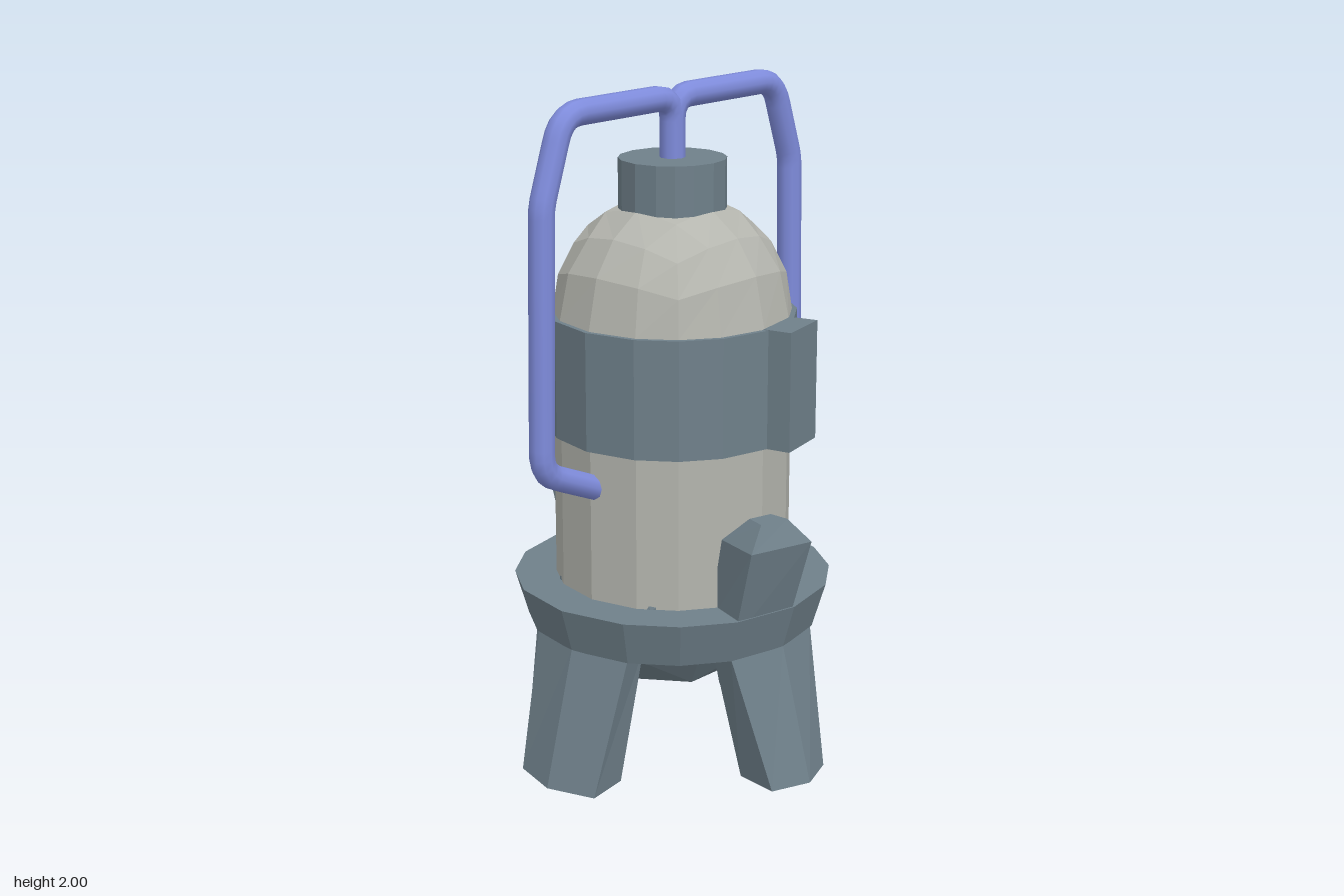
import * as THREE from 'three';

const slate = new THREE.MeshStandardMaterial({ color: 0x6f808a, flatShading: true });
const pale = new THREE.MeshStandardMaterial({ color: 0xb4b5ae, flatShading: true });
const blue = new THREE.MeshStandardMaterial({ color: 0x7f8cdc });

function addMesh(parent, name, geometry, material) {
  const mesh = new THREE.Mesh(geometry, material);
  mesh.name = name;
  parent.add(mesh);
  return mesh;
}

// Move every vertex of a geometry by a rule
function reshape(geometry, rule) {
  const p = geometry.attributes.position;
  const v = new THREE.Vector3();
  for (let i = 0; i < p.count; i++) {
    rule(v.fromBufferAttribute(p, i));
    p.setXYZ(i, v.x, v.y, v.z);
  }
  geometry.computeVertexNormals();
  return geometry;
}

// 16-sided drum whose corners gather slightly toward the diagonals
function drum(y0, y1, r0, r1) {
  const g = new THREE.CylinderGeometry(r1, r0, y1 - y0, 16);
  g.translate(0, (y0 + y1) / 2, 0);
  return reshape(g, (v) => {
    const r = Math.hypot(v.x, v.z);
    const a = Math.atan2(v.z, v.x);
    const b = a + 0.044 * Math.sin(4 * a);
    v.set(r * Math.cos(b), v.y, r * Math.sin(b));
  });
}

// Closed solid through stacked sections { y, loop: [[x, z], ...] }
function loft(sections) {
  const out = [];
  const rings = sections.map((s) => s.loop.map(([x, z]) => [x, s.y, z]));
  const n = rings[0].length;
  for (let k = 0; k + 1 < rings.length; k++) {
    for (let i = 0; i < n; i++) {
      const j = (i + 1) % n;
      const a = rings[k], b = rings[k + 1];
      out.push(...a[i], ...a[j], ...b[j], ...a[i], ...b[j], ...b[i]);
    }
  }
  const first = rings[0], last = rings[rings.length - 1];
  for (let i = 1; i + 1 < n; i++) {
    out.push(...first[0], ...first[i + 1], ...first[i]);
    out.push(...last[0], ...last[i], ...last[i + 1]);
  }
  const g = new THREE.BufferGeometry();
  g.setAttribute('position', new THREE.Float32BufferAttribute(out, 3));
  g.computeVertexNormals();
  return g;
}

// Faceted ball made from a subdivided cube
function cubeBall(r, y) {
  const g = new THREE.BoxGeometry(2, 2, 2, 4, 4, 4);
  const pull = (c) => (Math.abs(Math.abs(c) - 0.5) < 0.01 ? Math.sign(c) * 0.466 : c);
  return reshape(g, (v) => {
    v.set(pull(v.x), pull(v.y), pull(v.z)).setLength(r);
    v.y += y;
  });
}

// Pipe path: straight runs joined by rounded corners [x, y, cut]
function pipePath(corners, side) {
  const path = new THREE.CurvePath();
  const pts = corners.map(([x, y]) => new THREE.Vector3(side * x, y, 0));
  let from = pts[0];
  for (let i = 1; i < pts.length - 1; i++) {
    const cut = corners[i][2];
    const before = pts[i].clone().add(pts[i - 1].clone().sub(pts[i]).setLength(cut));
    const after = pts[i].clone().add(pts[i + 1].clone().sub(pts[i]).setLength(cut));
    path.add(new THREE.LineCurve3(from, before));
    path.add(new THREE.QuadraticBezierCurve3(before, pts[i], after));
    from = after;
  }
  path.add(new THREE.LineCurve3(from, pts[pts.length - 1]));
  return path;
}

export function createModel() {
  const model = new THREE.Group();
  model.name = 'tankOnStand';

  // Tank
  addMesh(model, 'tankBody', drum(0.45, 1.34, 0.35, 0.35), pale);
  addMesh(model, 'tankDome', cubeBall(0.35, 1.34), pale);
  const bottom = new THREE.IcosahedronGeometry(0.35, 1);
  bottom.translate(0, 0.53, 0);
  addMesh(model, 'tankBottom', bottom, slate);
  addMesh(model, 'topCap', drum(1.64, 1.79, 0.157, 0.157), slate);

  // Band with its clasp, in line with one facet
  addMesh(model, 'band', drum(0.99, 1.34, 0.365, 0.365), slate);
  const clasp = [[0.015, 0.435], [0.18, 0.397], [0.15, 0.29], [-0.01, 0.32]];
  addMesh(model, 'bandClasp', loft([{ y: 0.99, loop: clasp }, { y: 1.342, loop: clasp }]), slate);

  // Stand: collar and four splayed legs
  addMesh(model, 'standCollar', drum(0.4, 0.535, 0.435, 0.475), slate);
  for (let i = 0; i < 4; i++) {
    const w = i % 2 ? 0.148 : 0.12;
    const foot = [[-w, 0.5], [0, 0.545], [w, 0.5], [w * 0.85, 0.365], [-w * 0.85, 0.365]];
    const hip = [[-0.18, 0.39], [0, 0.435], [0.18, 0.39], [0.15, 0.29], [-0.15, 0.29]];
    const leg = addMesh(model, 'leg', loft([{ y: 0, loop: foot }, { y: 0.405, loop: hip }]), slate);
    leg.rotation.y = (i * Math.PI) / 2;
  }

  // Two leaning prongs with bevelled tips, front and back
  const shoulder = [[-0.2, 0.48], [0, 0.534], [0, 0.38], [-0.16, 0.335]];
  const tip = shoulder.map(([x, z]) => [-0.09 + (x + 0.09) * 0.45, 0.445 + (z - 0.435) * 0.4]);
  const root = [[-0.19, 0.41], [0, 0.45], [0, 0.3], [-0.14, 0.27]];
  for (let i = 0; i < 2; i++) {
    const prong = addMesh(model, 'prong', loft([
      { y: 0.47, loop: root },
      { y: 0.75, loop: shoulder },
      { y: 0.82, loop: tip },
    ]), slate);
    prong.rotation.y = i * Math.PI;
  }

  // Pair of pipes from the cap round to the tank sides
  const corners = [
    [0, 1.74], [0, 1.963, 0.07], [0.445, 1.963, 0.07],
    [0.528, 1.72, 0.03], [0.543, 0.965, 0.06], [0.31, 0.865],
  ];
  for (const side of [1, -1]) {
    const tube = new THREE.TubeGeometry(pipePath(corners, side), 72, 0.037, 10);
    addMesh(model, side > 0 ? 'leftPipe' : 'rightPipe', tube, blue);
  }

  return model;
}
